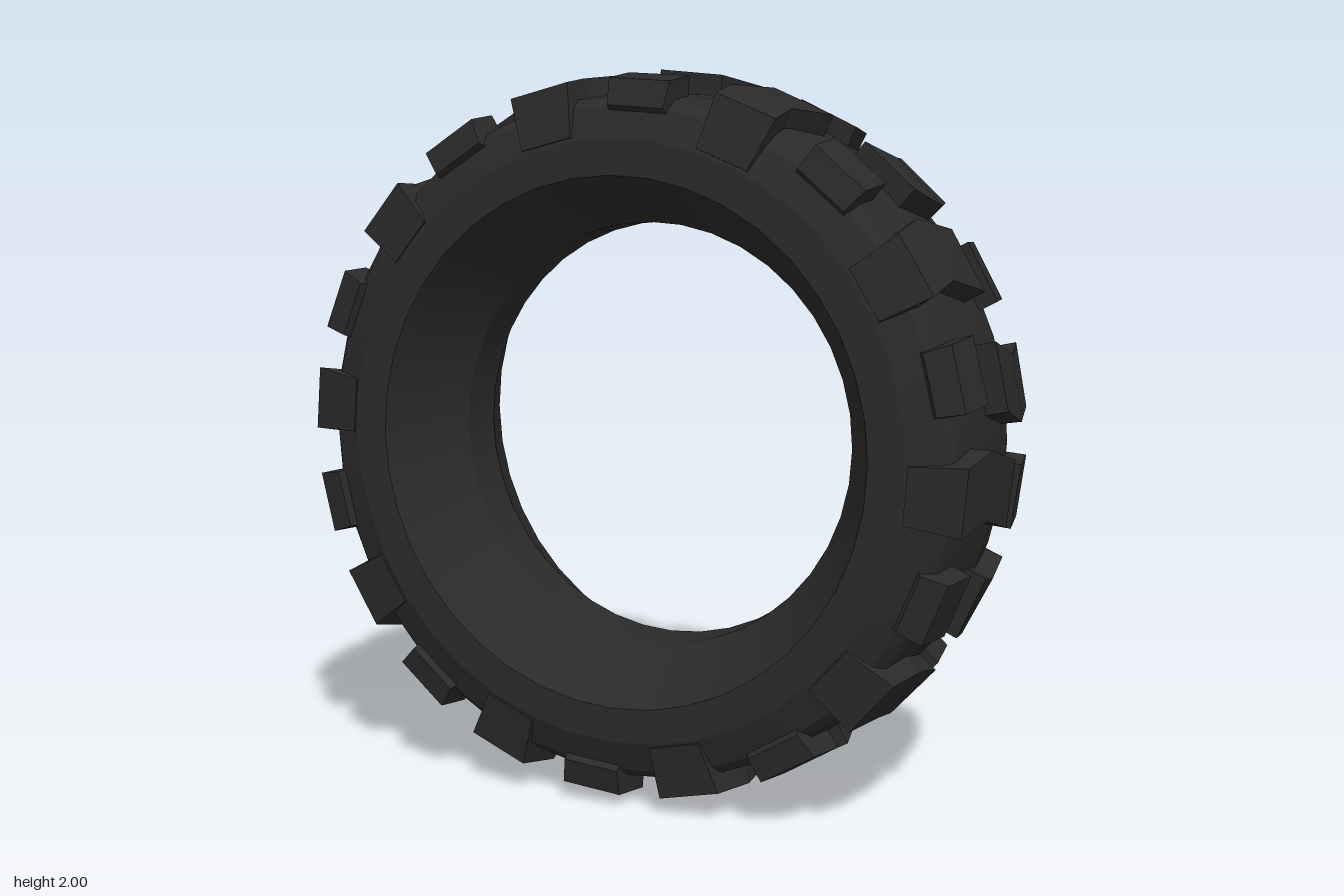
import * as THREE from 'three';
import { toCreasedNormals } from 'three/addons/utils/BufferGeometryUtils.js';

const DEG = Math.PI / 180;

// Block lofted along z. Each section: [base radius, base z, top radius, top z, angular offset in degrees]
function lugGeometry(sections, halfAngle) {
  const positions = [];
  const index = [];
  for (const [r0, z0, r1, z1, offset] of sections) {
    const corners = [
      [r0, -halfAngle, z0], [r0, halfAngle, z0],
      [r1, halfAngle * 0.92, z1], [r1, -halfAngle * 0.92, z1],
    ];
    for (const [r, a, z] of corners) {
      const t = (a + offset) * DEG;
      positions.push(r * Math.cos(t), r * Math.sin(t), z);
    }
  }
  for (let s = 0; s < sections.length - 1; s++) {
    for (let j = 0; j < 4; j++) {
      const a = s * 4 + j, b = s * 4 + (j + 1) % 4;
      index.push(a, a + 4, b + 4, a, b + 4, b);
    }
  }
  const e = (sections.length - 1) * 4;
  index.push(0, 1, 2, 0, 2, 3, e, e + 2, e + 1, e, e + 3, e + 2);
  const indexed = new THREE.BufferGeometry();
  indexed.setAttribute('position', new THREE.Float32BufferAttribute(positions, 3));
  indexed.setIndex(index);
  const geometry = indexed.toNonIndexed();
  geometry.computeVertexNormals();
  return geometry;
}

export function createModel() {
  const model = new THREE.Group();
  model.name = 'tyre';
  const rubber = new THREE.MeshStandardMaterial({ color: 0x2a2a2a });
  rubber.name = 'black rubber';

  const wheel = new THREE.Group();
  wheel.name = 'tyreBody';
  wheel.position.y = 1;
  model.add(wheel);

  // Carcass: closed ring profile (radius, z), turned about the z axis
  const profile = [
    [0.59, -0.07], [0.715, -0.315], [0.81, -0.315], [0.895, -0.285], [0.922, -0.25],
    [0.938, -0.12], [0.942, 0], [0.938, 0.12],
    [0.922, 0.25], [0.895, 0.285], [0.81, 0.315], [0.715, 0.315], [0.59, 0.07], [0.59, -0.07],
  ].map(([r, z]) => new THREE.Vector2(r, z));
  const ring = new THREE.LatheGeometry(profile, 40);
  ring.rotateX(Math.PI / 2);
  const carcass = new THREE.Mesh(toCreasedNormals(ring, 0.3), rubber);
  carcass.name = 'carcass';
  wheel.add(carcass);

  // Tread lugs: long chevrons wrapping onto the sidewall, short blocks between them
  const longLug = lugGeometry([
    [0.92, -0.03, 1.0, -0.03, 0],
    [0.91, 0.15, 0.987, 0.15, 2.7],
    [0.88, 0.25, 0.966, 0.292, 1.2],
    [0.815, 0.29, 0.82, 0.317, 1.2],
  ], 5.7);
  const shortLug = lugGeometry([
    [0.91, 0.16, 0.986, 0.16, 0.4],
    [0.88, 0.25, 0.966, 0.292, 0],
    [0.87, 0.27, 0.895, 0.307, 0],
  ], 5.6);

  function treadHalf(name) {
    const half = new THREE.Group();
    half.name = name;
    for (let i = 0; i < 10; i++) {
      const long = new THREE.Mesh(longLug, rubber);
      long.name = 'longLug';
      long.rotation.z = (102 + 36 * i) * DEG;
      const short = new THREE.Mesh(shortLug, rubber);
      short.name = 'shortLug';
      short.rotation.z = (85.5 + 36 * i) * DEG;
      half.add(long, short);
    }
    return half;
  }
  const frontTread = treadHalf('frontTread');
  const backTread = treadHalf('backTread');
  // Half turn about a radial line staggers the back lugs against the front ones
  const axis = new THREE.Vector3(Math.cos(93 * DEG), Math.sin(93 * DEG), 0);
  backTread.quaternion.setFromAxisAngle(axis, Math.PI);
  wheel.add(frontTread, backTread);

  // Small raised ribs on the back lip, in two pairs of arcs
  const ribs = new THREE.Group();
  ribs.name = 'backLipRibs';
  const ribGeometry = new THREE.BoxGeometry(0.045, 0.016, 0.016);
  for (const [from, to] of [[65, 89], [94, 115], [241, 281], [286, 305]]) {
    const count = Math.round((to - from) / 2.6);
    for (let i = 0; i <= count; i++) {
      const t = (from + (to - from) * i / count) * DEG;
      const rib = new THREE.Mesh(ribGeometry, rubber);
      rib.name = 'lipRib';
      rib.position.set(0.742 * Math.cos(t), 0.742 * Math.sin(t), -0.317);
      rib.rotation.z = t;
      ribs.add(rib);
    }
  }
  wheel.add(ribs);

  return model;
}
